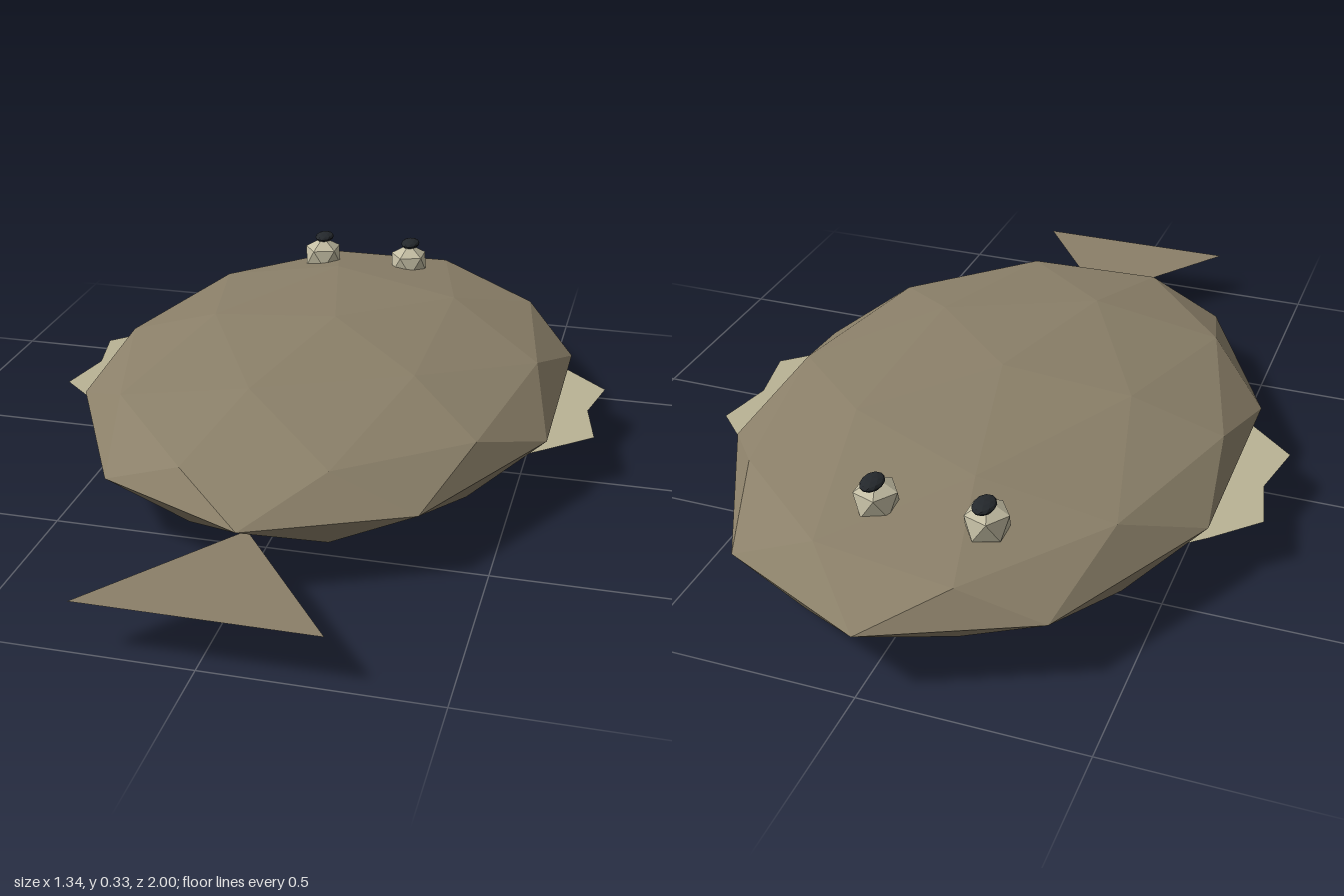
import * as THREE from 'three';

const mat = (color, side = THREE.FrontSide) =>
  new THREE.MeshStandardMaterial({ color, flatShading: true, side });

const skin = mat(0x8b8069);
const finSkin = mat(0xbab395, THREE.DoubleSide);
const tailSkin = mat(0x8b8069, THREE.DoubleSide);
const bellySkin = mat(0xc8c6b0);
const eyeSkin = mat(0xc4bea4);
const pupilSkin = mat(0x24282c);

// Faceted ellipsoid with a corner of the icosahedron pointing straight up
function ellipsoid(name, material, detail, radii, centre) {
  const geo = new THREE.IcosahedronGeometry(1, detail);
  geo.rotateZ(Math.atan2(1, (1 + Math.sqrt(5)) / 2));
  geo.scale(...radii);
  geo.computeVertexNormals();
  const mesh = new THREE.Mesh(geo, material);
  mesh.name = name;
  mesh.position.set(...centre);
  return mesh;
}

// Flat horizontal sheet from [x, z] outline points
function sheet(name, material, points, y) {
  const shape = new THREE.Shape(points.map(([x, z]) => new THREE.Vector2(x, z)));
  const mesh = new THREE.Mesh(new THREE.ShapeGeometry(shape).rotateX(Math.PI / 2), material);
  mesh.name = name;
  mesh.position.y = y;
  return mesh;
}

export function createModel() {
  const fish = new THREE.Group();
  fish.name = 'flatfish';

  // Flattened body, with a paler belly just breaking through the underside
  fish.add(ellipsoid('body', skin, 1, [0.6, 0.155, 0.86], [0, 0.155, -0.14]));
  fish.add(ellipsoid('belly', bellySkin, 0, [0.55, 0.09, 0.77], [0, 0.096, -0.14]));

  // Both eyes sit on the upper side, off centre
  for (const [side, x] of [['right', -0.172], ['left', 0.076]]) {
    fish.add(ellipsoid(side + 'Eye', eyeSkin, 0, [0.055, 0.052, 0.058], [x, 0.272, -0.695]));
    fish.add(ellipsoid(side + 'Pupil', pupilSkin, 1, [0.025, 0.012, 0.037], [x, 0.321, -0.711]));
  }

  // Side fins, mirrored
  const finOutline = [[0.5, -0.45], [0.57, -0.39], [0.67, -0.29], [0.64, -0.15],
    [0.67, 0], [0.57, 0.09], [0.5, 0.15]];
  for (const [side, s] of [['left', 1], ['right', -1]]) {
    fish.add(sheet(side + 'Fin', finSkin, finOutline.map(([x, z]) => [s * x, z]), 0.118));
  }

  // Triangular tail
  fish.add(sheet('tail', tailSkin, [[0, 0.64], [0.26, 1], [-0.26, 1]], 0.118));

  return fish;
}
